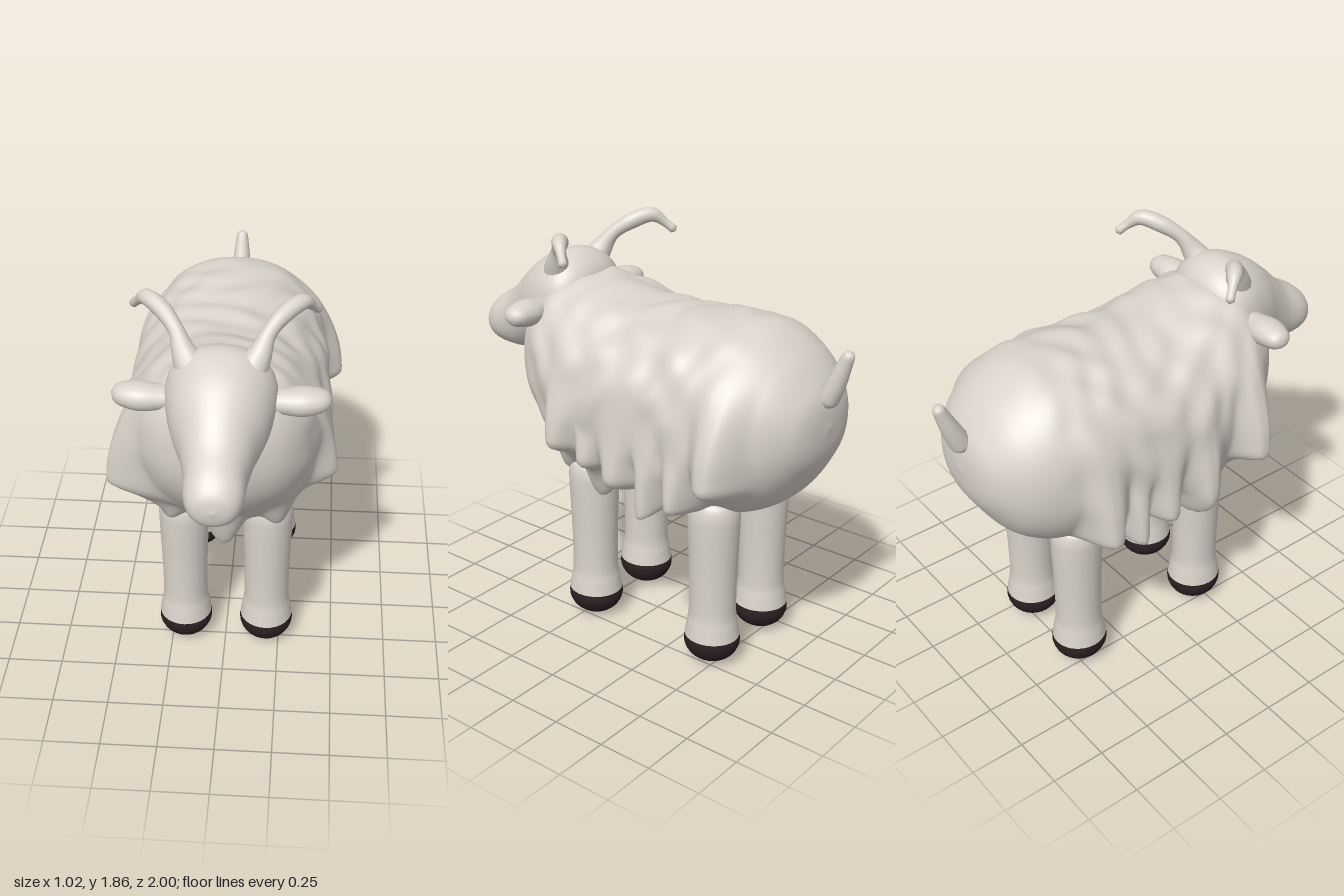
import * as THREE from 'three';
import { mergeVertices } from 'three/addons/utils/BufferGeometryUtils.js';

const wool = new THREE.MeshStandardMaterial({ color: 0xd9d3ca });
wool.name = 'wool';
const hoof = new THREE.MeshStandardMaterial({ color: 0x2b2022 });
hoof.name = 'darkHoof';
const { smoothstep, lerp } = THREE.MathUtils;

// Closed skin through rings [z, top, bottom, halfWidth], listed from +z to -z
function loft(rings, steps, sides, power, bump = () => 0) {
  const ends = new THREE.CatmullRomCurve3(rings.map(r => new THREE.Vector3(r[0], r[1], r[2])), false, 'catmullrom');
  const widths = new THREE.CatmullRomCurve3(rings.map(r => new THREE.Vector3(r[3], 0, 0)), false, 'catmullrom');
  const pos = [], index = [];
  const soft = v => Math.sign(v) * Math.pow(Math.abs(v), power);
  for (let i = 0; i <= steps; i++) {
    const e = ends.getPoint(i / steps), w = Math.max(0, widths.getPoint(i / steps).x);
    const cy = (e.y + e.z) / 2, h = Math.max(0, (e.y - e.z) / 2);
    for (let j = 0; j < sides; j++) {
      const a = (j / sides) * Math.PI * 2;
      const k = 1 + bump(e.x, a);
      pos.push(soft(Math.cos(a)) * w * k, cy + soft(Math.sin(a)) * h * k, e.x);
      if (i < steps) {
        const p = i * sides + j, q = i * sides + (j + 1) % sides;
        index.push(p, p + sides, q, q, p + sides, q + sides);
      }
    }
  }
  const g = new THREE.BufferGeometry();
  g.setAttribute('position', new THREE.Float32BufferAttribute(pos, 3));
  g.setIndex(index);
  g.computeVertexNormals();
  return g;
}

// Round-ended tube along points [x, y, z, radius]
function sweep(points, segs = 28, sides = 14) {
  const curve = new THREE.CatmullRomCurve3(points.map(p => new THREE.Vector3(p[0], p[1], p[2])));
  const radii = new THREE.CatmullRomCurve3(points.map(p => new THREE.Vector3(p[3], 0, 0)), false, 'catmullrom');
  const g = new THREE.TubeGeometry(curve, segs, 1, sides);
  const len = curve.getLength(), pos = g.attributes.position, v = new THREE.Vector3();
  for (let i = 0; i <= segs; i++) {
    const u = i / segs, c = curve.getPointAt(u);
    let r = radii.getPoint(curve.getUtoTmapping(u)).x;
    const d = Math.min(u, 1 - u) * len;
    if (d < r) r *= Math.sqrt(Math.max(0, 1 - (1 - d / r) ** 2));
    for (let j = 0; j <= sides; j++) {
      const n = i * (sides + 1) + j;
      v.fromBufferAttribute(pos, n).sub(c).multiplyScalar(r).add(c);
      pos.setXYZ(n, v.x, v.y, v.z);
    }
  }
  g.deleteAttribute('uv');
  g.deleteAttribute('normal');
  const merged = mergeVertices(g, 1e-5);
  merged.computeVertexNormals();
  return merged;
}

// Hanging side locks: [side, z, bottom, top, half width, outermost x]
const locks = [
  [1, 0.22, 0.88, 1.45, 0.085, 0.49], [1, 0.07, 0.84, 1.3, 0.065, 0.46], [1, -0.1, 0.78, 1.4, 0.09, 0.48],
  [1, -0.27, 0.76, 1.35, 0.075, 0.475], [1, -0.42, 0.75, 1.35, 0.075, 0.475], [1, -0.61, 0.87, 1.5, 0.11, 0.51],
  [-1, 0.35, 0.86, 1.52, 0.105, 0.51], [-1, 0.07, 0.77, 1.45, 0.09, 0.5], [-1, -0.14, 0.76, 1.45, 0.085, 0.49],
  [-1, -0.29, 0.78, 1.35, 0.065, 0.475], [-1, -0.45, 0.76, 1.47, 0.1, 0.5],
];

// Tufts under the belly: [x, z, bottom, radius]
const tufts = [
  [0, 0.34, 0.63, 0.09], [0.27, 0.1, 0.68, 0.085], [0.1, 0, 0.65, 0.085], [0.2, -0.14, 0.69, 0.075],
  [0.12, -0.26, 0.67, 0.085], [-0.27, 0.07, 0.69, 0.085], [-0.15, -0.18, 0.67, 0.085],
  [0.24, 0.33, 0.74, 0.08], [-0.24, 0.31, 0.74, 0.08], [0.33, -0.27, 0.74, 0.08], [-0.33, -0.3, 0.75, 0.08],
];

// Pull the body's skin out into rounded locks and down into tufts
function growFleece(g) {
  const pos = g.attributes.position;
  for (let i = 0; i < pos.count; i++) {
    const x = pos.getX(i), y = pos.getY(i), z = pos.getZ(i);
    let reach = Math.abs(x), low = y;
    for (const [s, lz, bottom, top, r, out] of locks) {
      const t = (y - bottom) / (top - bottom);
      const d = Math.hypot(z - lz, Math.min(0, y - bottom - r * 1.1)) / r;
      const w = (1 - smoothstep(d, 0.15, 1.25)) * (1 - smoothstep(t, 0.3, 1)) * smoothstep(s * x, 0.08, 0.25);
      reach = Math.max(reach, lerp(Math.abs(x), out - 0.07 * Math.max(0, t - 0.2), w));
    }
    for (const [tx, tz, bottom, r] of tufts) {
      const w = (1 - smoothstep(Math.hypot(x - tx, z - tz), r * 0.15, r * 1.25)) * (1 - smoothstep(y, 0.8, 0.95));
      low = Math.min(low, lerp(y, bottom, w));
    }
    pos.setXYZ(i, Math.sign(x) * reach, low, z);
  }
  g.computeVertexNormals();
  return g;
}

export function createModel() {
  const model = new THREE.Group();
  const add = (name, geometry, material = wool, parent = model) => {
    const m = new THREE.Mesh(geometry, material);
    m.name = name;
    parent.add(m);
    return m;
  };

  // Woolly body: lumpy in the middle, smooth at the chest and rump
  const lumps = (z, a) => {
    const fade = smoothstep(z, -0.7, -0.4) * (1 - smoothstep(z, 0.35, 0.58));
    return fade * (0.012 * Math.sin(z * 19 + 3 * Math.sin(a * 3)) * Math.sin(a * 5 + z * 7)
      + 0.01 * Math.sin(a * 11 + 3 * Math.sin(z * 9)) + 0.009 * Math.sin(z * 37 + 2 * Math.sin(a * 4 + z * 5)));
  };
  add('body', growFleece(loft([
    [0.63, 1.26, 1.26, 0], [0.615, 1.40, 1.13, 0.14], [0.56, 1.53, 1.0, 0.27], [0.45, 1.6, 0.86, 0.36],
    [0.3, 1.61, 0.73, 0.41], [0.15, 1.575, 0.71, 0.435], [0, 1.55, 0.71, 0.445], [-0.2, 1.555, 0.71, 0.445],
    [-0.4, 1.575, 0.715, 0.435], [-0.6, 1.565, 0.74, 0.4], [-0.75, 1.48, 0.83, 0.335], [-0.85, 1.37, 0.97, 0.23],
    [-0.89, 1.29, 1.06, 0.13], [-0.905, 1.18, 1.18, 0],
  ], 182, 120, 0.9, lumps)));

  // Head tapering to the muzzle
  add('head', loft([
    [1.0, 1.28, 1.28, 0], [0.98, 1.35, 1.21, 0.08], [0.92, 1.41, 1.175, 0.118], [0.82, 1.475, 1.165, 0.127],
    [0.72, 1.575, 1.185, 0.155], [0.62, 1.655, 1.215, 0.2], [0.5, 1.705, 1.25, 0.23], [0.41, 1.69, 1.32, 0.215],
    [0.345, 1.63, 1.42, 0.14], [0.325, 1.55, 1.55, 0],
  ], 48, 36, 0.94));

  for (const s of [1, -1]) {
    // Flattened ears, narrow at the root
    const ear = add('ear', sweep([
      [s * 0.17, 0, -0.01, 0.046], [s * 0.25, -0.003, 0, 0.056], [s * 0.34, 0, 0, 0.065], [s * 0.45, 0.006, -0.01, 0.042],
    ]));
    ear.position.set(0, 1.477, 0.48);
    ear.scale.set(1, 0.92, 1.15);

    // Curved horns, flared at the base and thin at the tip
    add('horn', sweep([
      [s * 0.1, 1.58, 0.49, 0.085], [s * 0.15, 1.67, 0.455, 0.052], [s * 0.185, 1.745, 0.41, 0.033],
      [s * 0.245, 1.8, 0.345, 0.037], [s * 0.315, 1.823, 0.285, 0.034], [s * 0.355, 1.785, 0.24, 0.02],
      [s * 0.385, 1.745, 0.2, 0.021],
    ], 40));
  }

  // Tail
  add('tail', sweep([[0, 1.27, -0.87, 0.05], [0, 1.38, -0.92, 0.043], [0, 1.53, -0.98, 0.024]]));

  // Legs with dark hooves
  const turned = pts => new THREE.LatheGeometry(
    new THREE.SplineCurve(pts.map(p => new THREE.Vector2(...p))).getPoints(28)
      .map(p => new THREE.Vector2(Math.max(0, p.x), p.y)), 28);
  const legShape = turned([
    [0.121, 0.13], [0.112, 0.19], [0.103, 0.26], [0.105, 0.45], [0.112, 0.66], [0.11, 0.75], [0.085, 0.8], [0, 0.825],
  ]);
  const hoofShape = turned([[0, 0], [0.055, 0.012], [0.1, 0.045], [0.122, 0.09], [0.121, 0.13]]);
  for (const x of [-0.19, 0.19]) {
    for (const [name, z] of [['front', 0.225], ['rear', -0.462]]) {
      const leg = new THREE.Group();
      leg.name = name + 'Leg';
      leg.position.set(x, 0, z);
      leg.scale.z = 1.04;
      add(name + 'Shank', legShape, wool, leg);
      add(name + 'Hoof', hoofShape, hoof, leg);
      model.add(leg);
    }
  }
  return model;
}
